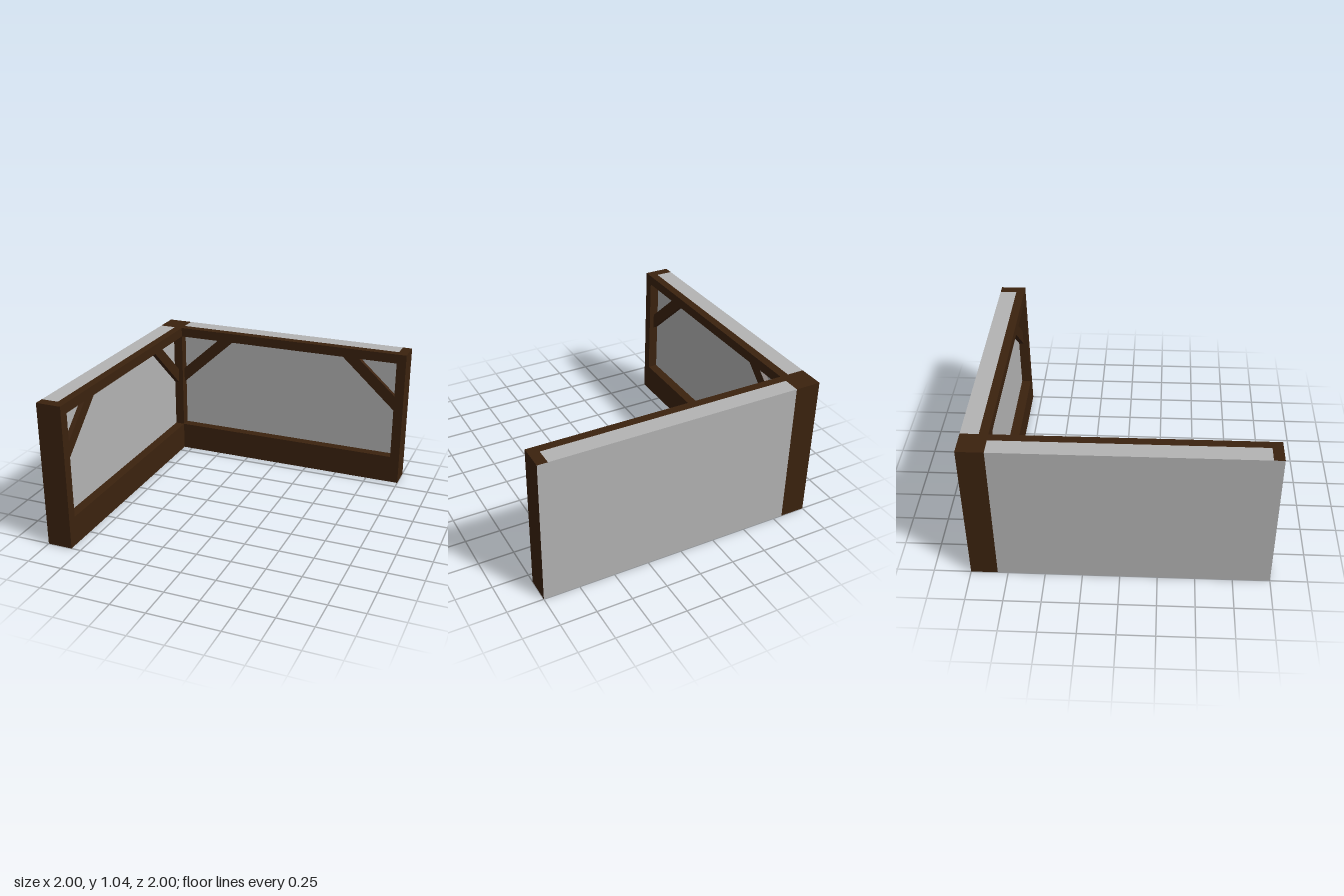
import * as THREE from 'three';

const wood = new THREE.MeshStandardMaterial({ color: 0x3b220e, side: THREE.DoubleSide });
wood.name = 'dark timber';
const plaster = new THREE.MeshStandardMaterial({ color: 0xb3b3b3, side: THREE.DoubleSide });
plaster.name = 'grey plaster';

const H = 1.04;                      // wall height
const OUT = -1, INN = -0.82;         // outer and inner wall faces
const REC = -0.89;                   // recessed infill panel
const CAP = -0.88;                   // inner edge of the plaster on the wall top
const X0 = -0.82, X1 = 0.93, END = 1; // opening start, opening end, wall end
const SILL = 0.21, BEAM = 0.97;      // opening bottom and top

// Flat four-cornered face, corners counter-clockwise from its front
function quad(parent, name, material, a, b, c, d) {
  const g = new THREE.BufferGeometry();
  g.setAttribute('position', new THREE.Float32BufferAttribute([...a, ...b, ...c, ...d], 3));
  g.setIndex([0, 1, 2, 0, 2, 3]);
  g.computeVertexNormals();
  add(parent, name, g, material);
}

function add(parent, name, geometry, material) {
  const mesh = new THREE.Mesh(geometry, material);
  mesh.name = name;
  parent.add(mesh);
  return mesh;
}

const polygon = (points) => new THREE.Shape(points.map(([x, y]) => new THREE.Vector2(x, y)));

// Upward-facing rectangle on top of the wall
const topFace = (parent, name, material, xa, xb, za, zb) =>
  quad(parent, name, material, [xa, H, zb], [xb, H, zb], [xb, H, za], [xa, H, za]);

// Hollow framed wall running along x, open underneath
function createWall(name) {
  const wall = new THREE.Group();
  wall.name = name;

  // Inner frame face: sill, end post and top beam
  const frame = new THREE.ShapeGeometry(polygon([
    [X0, 0], [END, 0], [END, H], [X0, H], [X0, BEAM], [X1, BEAM], [X1, SILL], [X0, SILL],
  ]));
  add(wall, 'frameFace', frame, wood).position.z = INN;

  // Sides of the recess
  quad(wall, 'sillLedge', wood, [X0, SILL, INN], [X1, SILL, INN], [X1, SILL, REC], [X0, SILL, REC]);
  quad(wall, 'beamUnderside', wood, [X0, BEAM, REC], [X1, BEAM, REC], [X1, BEAM, INN], [X0, BEAM, INN]);
  quad(wall, 'endPostReveal', wood, [X1, SILL, REC], [X1, SILL, INN], [X1, BEAM, INN], [X1, BEAM, REC]);
  quad(wall, 'cornerPostReveal', wood, [X0, SILL, INN], [X0, SILL, REC], [X0, BEAM, REC], [X0, BEAM, INN]);

  // Plaster infill inside and plaster skin outside
  quad(wall, 'infillPanel', plaster, [X0, SILL, REC], [X1, SILL, REC], [X1, BEAM, REC], [X0, BEAM, REC]);
  quad(wall, 'outerPanel', plaster, [END, 0, OUT], [X0, 0, OUT], [X0, H, OUT], [END, H, OUT]);

  // End of the wall
  quad(wall, 'endPost', wood, [END, 0, INN], [END, 0, OUT], [END, H, OUT], [END, H, INN]);

  // Top of the wall
  topFace(wall, 'plasterTop', plaster, X0, X1, OUT, CAP);
  topFace(wall, 'beamTop', wood, X0, X1, CAP, INN);
  topFace(wall, 'endPostTop', wood, X1, END, OUT, INN);

  // Diagonal braces, mirrored about the middle of the opening
  const brace = [[X0, 0.575], [-0.385, BEAM], [-0.51, BEAM], [X0, 0.69]];
  const mirrored = brace.map(([x, y]) => [X0 + X1 - x, y]).reverse();
  for (const [label, points] of [['cornerBrace', brace], ['endBrace', mirrored]]) {
    const g = new THREE.ExtrudeGeometry(polygon(points), { depth: 0.035, bevelEnabled: false });
    add(wall, label, g, wood).position.z = REC;
  }

  // This wall's outer face of the corner post
  quad(wall, 'cornerPostFace', wood, [X0, 0, OUT], [OUT, 0, OUT], [OUT, H, OUT], [X0, H, OUT]);
  return wall;
}

export function createModel() {
  const model = new THREE.Group();
  model.name = 'cornerWall';

  model.add(createWall('backWall'));

  // The side wall is the back wall with x and z swapped
  const side = createWall('sideWall');
  side.rotation.y = Math.PI / 2;
  side.scale.x = -1;
  model.add(side);

  topFace(model, 'cornerPostTop', wood, OUT, X0, OUT, INN);
  return model;
}
